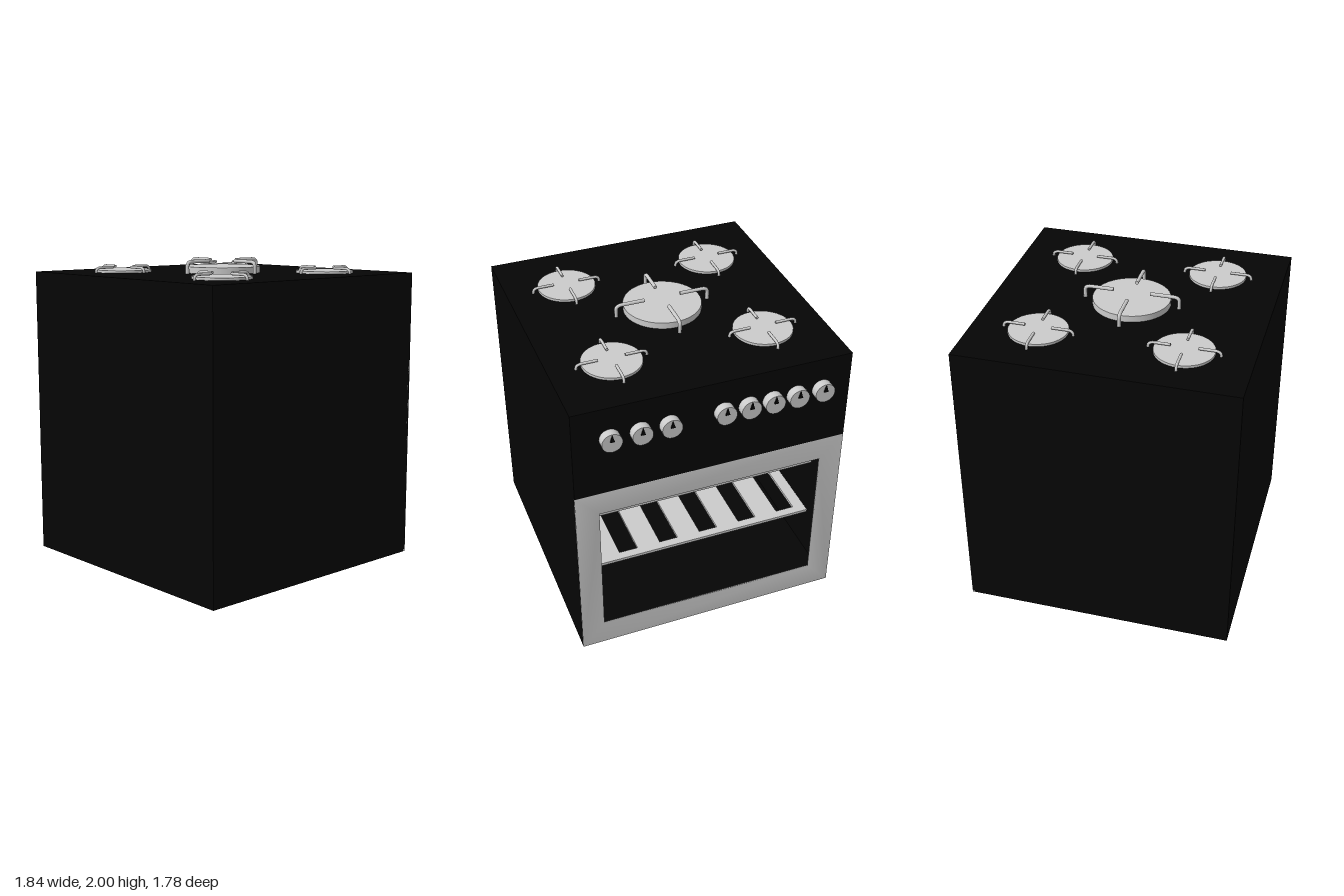
import * as THREE from 'three';
import { mergeVertices } from 'three/addons/utils/BufferGeometryUtils.js';

const grey = new THREE.MeshStandardMaterial({ color: 0xcccccc });
const black = new THREE.MeshStandardMaterial({ color: 0x050505 });

const BACK = -0.92, FRONT = 0.85, HALF = 0.89, TOP = 1.91, DOOR = 1.29, WALL = 0.015;

function add(parent, name, geometry, material, x = 0, y = 0, z = 0) {
  const mesh = new THREE.Mesh(geometry, material);
  mesh.name = name;
  mesh.position.set(x, y, z);
  parent.add(mesh);
  return mesh;
}

// box given by its minimum and maximum corners
function panel(parent, name, material, x0, x1, y0, y1, z0, z1) {
  return add(parent, name, new THREE.BoxGeometry(x1 - x0, y1 - y0, z1 - z0), material,
    (x0 + x1) / 2, (y0 + y1) / 2, (z0 + z1) / 2);
}

function rectangle(Type, x0, x1, y0, y1) {
  return new Type([[x0, y0], [x1, y0], [x1, y1], [x0, y1]].map(p => new THREE.Vector2(...p)));
}

// hollow housing, open behind the door frame
function makeBody() {
  const body = new THREE.Group();
  body.name = 'body';
  panel(body, 'bottomPanel', black, BACK, FRONT - WALL, 0, WALL, -HALF, HALF);
  panel(body, 'cooktop', black, BACK, FRONT, TOP - WALL, TOP, -HALF, HALF);
  panel(body, 'backPanel', black, BACK, BACK + WALL, WALL, TOP - WALL, -HALF, HALF);
  panel(body, 'controlPanel', black, FRONT - WALL, FRONT, DOOR, TOP - WALL, -HALF, HALF);
  for (const s of [-1, 1]) {
    const z = s * (HALF - WALL / 2);
    panel(body, 'sidePanel', black, BACK + WALL, FRONT - 0.001, WALL, TOP - WALL,
      z - WALL / 2, z + WALL / 2);
  }
  return body;
}

// door surround with softly blended normals
function makeDoorFrame() {
  const shape = rectangle(THREE.Shape, -HALF, HALF, 0, DOOR);
  shape.holes.push(rectangle(THREE.Path, -0.74, 0.74, 0.165, 1.13));
  let geometry = new THREE.ExtrudeGeometry(shape, { depth: WALL, bevelEnabled: false });
  geometry.deleteAttribute('normal');
  geometry.deleteAttribute('uv');
  geometry = mergeVertices(geometry);
  geometry.computeVertexNormals();
  geometry.rotateY(Math.PI / 2);
  const mesh = new THREE.Mesh(geometry, grey);
  mesh.name = 'doorFrame';
  mesh.position.x = FRONT - WALL + 0.001;
  return mesh;
}

// oven shelf: flat slats running front to back, joined at both ends
function makeRack(y) {
  const x0 = -0.88, x1 = 0.53, halfWidth = 0.87, count = 6;
  const shape = rectangle(THREE.Shape, x0, x1, -halfWidth, halfWidth);
  const pitch = 2 * halfWidth / count;
  for (let i = 0; i < count; i++) {
    const mid = -halfWidth + (i + 0.5) * pitch;
    shape.holes.push(rectangle(THREE.Path, x0 + 0.06, x1 - 0.06, mid - 0.065, mid + 0.065));
  }
  const geometry = new THREE.ExtrudeGeometry(shape, { depth: 0.02, bevelEnabled: false });
  geometry.rotateX(-Math.PI / 2);
  const mesh = new THREE.Mesh(geometry, grey);
  mesh.name = 'ovenRack';
  mesh.position.y = y - 0.01;
  return mesh;
}

// burner disc with four bent pan supports
function makeBurner(x, z, radius, height, outer, inner, rise, rod) {
  const burner = new THREE.Group();
  burner.name = 'burner';
  burner.position.set(x, TOP, z);
  add(burner, 'burnerCap', new THREE.CylinderGeometry(radius, radius, height, 48), grey, 0, height / 2, 0);

  const r = outer - rod, top = rise - rod, bend = 0.04;
  const path = new THREE.CurvePath();
  const v = (a, b) => new THREE.Vector3(a, b, 0);
  path.add(new THREE.LineCurve3(v(r, 0), v(r, top - bend * 0.7)));
  path.add(new THREE.QuadraticBezierCurve3(v(r, top - bend * 0.7), v(r, top), v(r - bend, top)));
  path.add(new THREE.LineCurve3(v(r - bend, top), v(inner, top)));
  const rodGeometry = new THREE.TubeGeometry(path, 32, rod, 10);
  const endGeometry = new THREE.CircleGeometry(rod, 10).rotateY(-Math.PI / 2);
  for (let i = 0; i < 4; i++) {
    const support = new THREE.Group();
    support.name = 'panSupport';
    support.rotation.y = i * Math.PI / 2;
    add(support, 'supportRod', rodGeometry, grey);
    add(support, 'rodEnd', endGeometry, grey, inner, top, 0);
    burner.add(support);
  }
  return burner;
}

// control knob with a dark wedge pointer
function makeKnob(z) {
  const knob = new THREE.Group();
  knob.name = 'knob';
  knob.position.set(FRONT, 1.695, z);
  const cylinder = new THREE.CylinderGeometry(0.064, 0.064, 0.055, 32).rotateZ(-Math.PI / 2);
  add(knob, 'knobBody', cylinder, grey, 0.0275, 0, 0);
  const wedge = new THREE.Shape([[-0.014, 0.015], [0.014, 0.015], [0, 0.061]].map(p => new THREE.Vector2(...p)));
  const pointer = new THREE.ExtrudeGeometry(wedge, { depth: 0.015, bevelEnabled: false }).rotateY(Math.PI / 2);
  add(knob, 'knobPointer', pointer, black, 0.05, 0, 0);
  return knob;
}

export function createModel() {
  const stove = new THREE.Group();
  stove.name = 'stove';
  stove.add(makeBody(), makeDoorFrame());
  for (const y of [0.37, 0.82]) stove.add(makeRack(y));

  stove.add(makeBurner(-0.035, 0, 0.25, 0.042, 0.32, 0.12, 0.09, 0.012));
  for (const x of [-0.49, 0.425])
    for (const z of [-0.49, 0.495])
      stove.add(makeBurner(x, z, 0.188, 0.016, 0.232, 0.086, 0.042, 0.009));

  for (const z of [0.66, 0.472, 0.289, -0.056, -0.215, -0.371, -0.53, -0.7]) stove.add(makeKnob(z));
  return stove;
}
